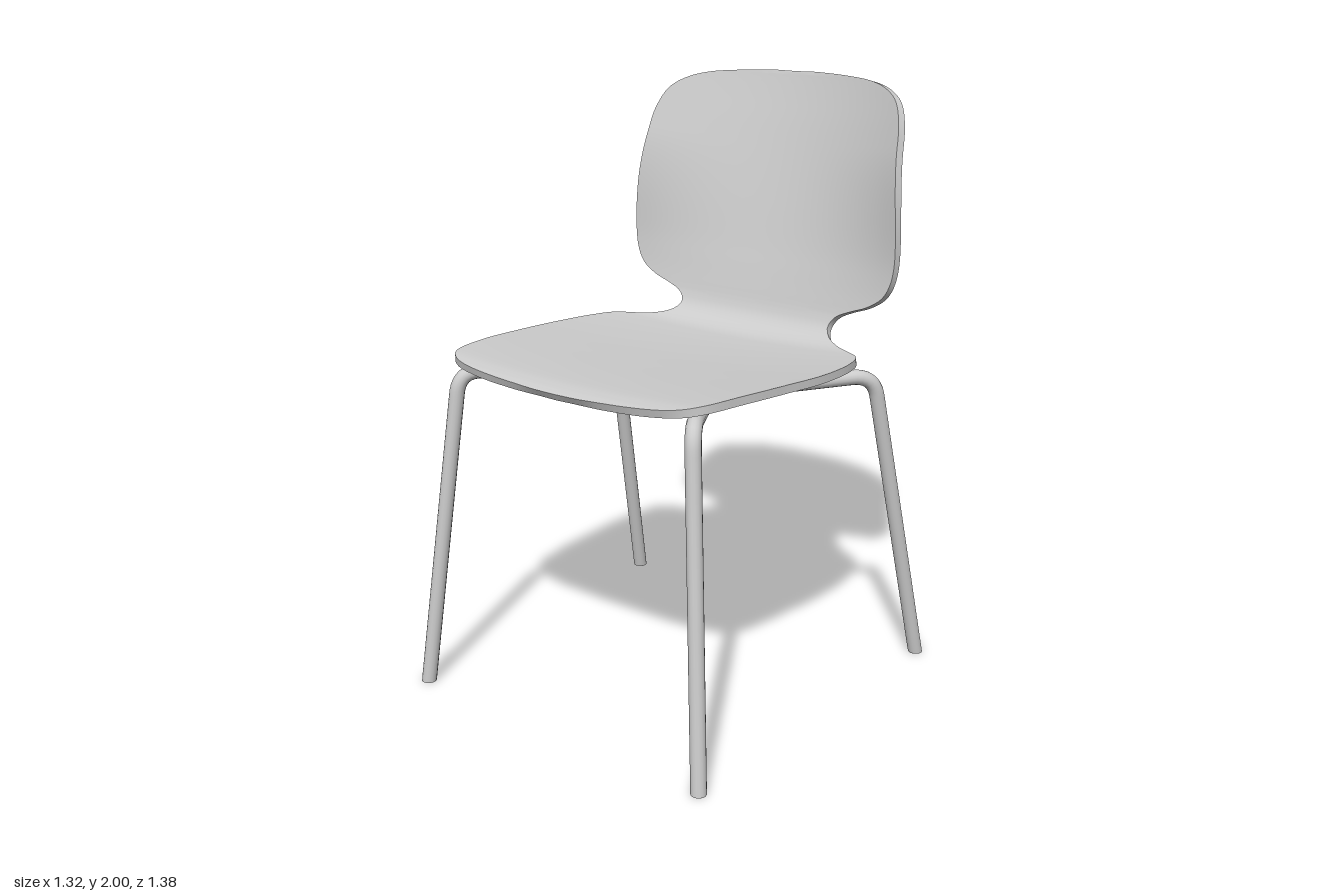
import * as THREE from 'three';
import { toCreasedNormals } from 'three/addons/utils/BufferGeometryUtils.js';

const material = new THREE.MeshStandardMaterial({ color: 0xcccccc, side: THREE.DoubleSide });
const V = (x, y, z) => new THREE.Vector3(x, y, z);

// Stations along the shell from the front lip to the top of the back: half width, y, z
const STATIONS = [
  [0, 1.113, 0.62], [0.2, 1.115, 0.616], [0.35, 1.118, 0.606], [0.45, 1.123, 0.585], [0.5, 1.128, 0.545],
  [0.535, 1.126, 0.4], [0.555, 1.115, 0.2], [0.565, 1.103, 0], [0.548, 1.098, -0.18],
  [0.515, 1.099, -0.27], [0.45, 1.102, -0.32], [0.385, 1.112, -0.36], [0.335, 1.133, -0.4],
  [0.315, 1.165, -0.43], [0.335, 1.2, -0.446], [0.385, 1.225, -0.454], [0.455, 1.25, -0.461],
  [0.51, 1.285, -0.471], [0.537, 1.33, -0.484], [0.55, 1.4, -0.505], [0.546, 1.55, -0.547],
  [0.525, 1.73, -0.598], [0.51, 1.825, -0.625], [0.475, 1.9, -0.647], [0.42, 1.942, -0.659],
  [0.34, 1.971, -0.667], [0.2, 1.99, -0.672], [0, 1.995, -0.674],
];

// One bent sheet: each row is a closed cross-section loop, curled towards the sitter
function shellGeometry(thickness = 0.026, rows = 180, cols = 24) {
  const edge = new THREE.CatmullRomCurve3(STATIONS.map((p) => V(...p)));
  edge.arcLengthDivisions = 600;
  const positions = [], index = [], loop = 2 * (cols + 1);
  for (let i = 0; i <= rows; i++) {
    const t = i / rows;
    const p = edge.getPointAt(t);
    const tangent = edge.getPointAt(Math.min(1, t + 0.015)).sub(edge.getPointAt(Math.max(0, t - 0.015)));
    const normal = V(0, -tangent.z, tangent.y).normalize();
    const curl = 0.08 + 0.36 * THREE.MathUtils.smoothstep(p.y, 1.2, 1.75);
    for (let k = 0; k < loop; k++) {
      const upper = k <= cols;
      const j = upper ? k : loop - 1 - k;
      const x = p.x * (2 * j / cols - 1);
      const offset = normal.clone().setX(-2 * curl * x).normalize()
        .multiplyScalar(upper ? thickness / 2 : -thickness / 2);
      const q = V(x, p.y, p.z).addScaledVector(normal, curl * x * x).add(offset);
      positions.push(q.x, q.y, q.z);
      if (i < rows) {
        const a = i * loop + k, b = i * loop + (k + 1) % loop;
        index.push(a, b, a + loop, b, b + loop, a + loop);
      }
    }
  }
  const geometry = new THREE.BufferGeometry();
  geometry.setAttribute('position', new THREE.Float32BufferAttribute(positions, 3));
  geometry.setIndex(index);
  return toCreasedNormals(geometry, 0.7);
}

// Straight runs joined by rounded bends
function bentPath(points, bend) {
  const path = new THREE.CurvePath();
  let from = points[0];
  for (let i = 1; i < points.length - 1; i++) {
    const p = points[i];
    const a = p.clone().add(points[i - 1].clone().sub(p).setLength(bend));
    const b = p.clone().add(points[i + 1].clone().sub(p).setLength(bend));
    path.add(new THREE.LineCurve3(from, a));
    path.add(new THREE.QuadraticBezierCurve3(a, p, b));
    from = b;
  }
  path.add(new THREE.LineCurve3(from, points[points.length - 1]));
  return path;
}

// A pair of legs and the bar between them, bent from a single tube
function legFrame(name, foot, knee, inner) {
  const half = [foot, knee, inner];
  const mirrored = half.map((p) => V(-p.x, p.y, p.z)).reverse();
  const radius = 0.025, segments = 200, sides = 16;
  const geometry = new THREE.TubeGeometry(bentPath([...half, ...mirrored], 0.075), segments, radius, sides);
  // Cut both ends level with the floor
  const pos = geometry.attributes.position;
  for (let k = 0; k <= sides; k++) {
    pos.setY(k, 0);
    pos.setY(segments * (sides + 1) + k, 0);
  }
  const group = new THREE.Group();
  group.name = name;
  const tube = new THREE.Mesh(geometry, material);
  tube.name = name + 'Tube';
  group.add(tube);
  for (const side of [1, -1]) {
    const cap = new THREE.Mesh(new THREE.CircleGeometry(radius, sides).rotateX(Math.PI / 2), material);
    cap.name = 'footCap';
    cap.position.set(side * foot.x, 0, foot.z);
    group.add(cap);
  }
  return group;
}

export function createModel() {
  const model = new THREE.Group();
  model.name = 'chair';

  const shell = new THREE.Mesh(shellGeometry(), material);
  shell.name = 'seatAndBack';
  model.add(shell);

  model.add(legFrame('frontLegs', V(0.58, 0, 0.665), V(0.475, 1.1, 0.56), V(0.22, 1.05, 0.125)));
  model.add(legFrame('rearLegs', V(0.635, 0, -0.55), V(0.56, 1.07, -0.31), V(0.22, 1.04, 0.08)));
  return model;
}
